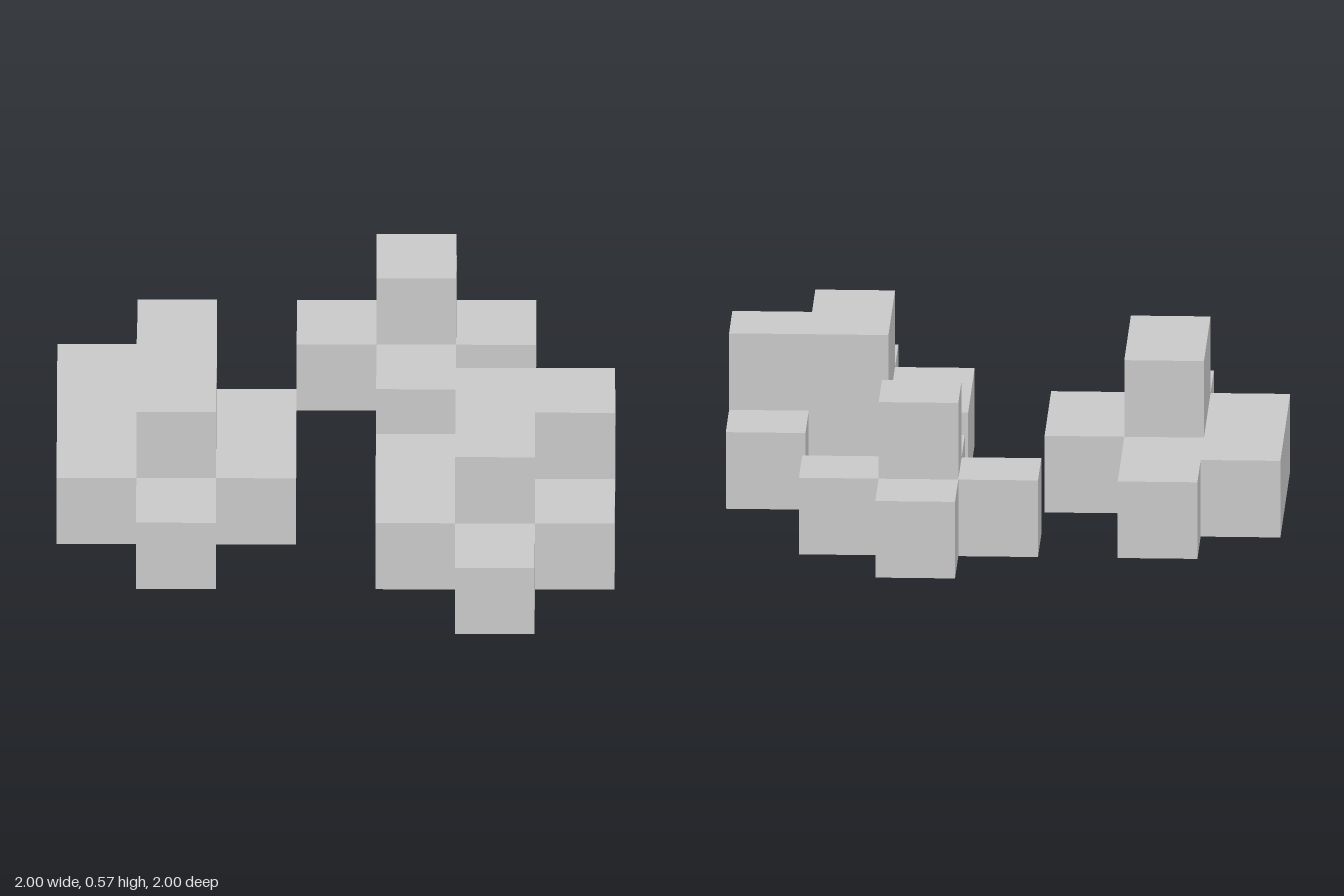
import * as THREE from 'three';
import { mergeGeometries } from 'three/addons/utils/BufferGeometryUtils.js';

const N = 7;          // grid cells per side
const U = 2 / N;      // edge of one cube

// Heights in cubes, one string per row from back (-z) to front (+z), columns from -x to +x
const PIECES = {
  longBlock: [
    '.......',
    '.1.....',
    '11.....',
    '121....',
    '121....',
    '.1.....',
    '.......',
  ],
  crossBlock: [
    '....1..',
    '...121.',
    '....1..',
    '.......',
    '.......',
    '.......',
    '.......',
  ],
  cornerBlock: [
    '.......',
    '.......',
    '.......',
    '......1',
    '....122',
    '....121',
    '.....1.',
  ],
};

const DIRECTIONS = [
  [1, 0, 0], [-1, 0, 0], [0, 1, 0], [0, -1, 0], [0, 0, 1], [0, 0, -1],
].map((d) => new THREE.Vector3(...d));
const FORWARD = new THREE.Vector3(0, 0, 1);

// One square face of a cube, looking along the given direction
function cubeFace(centre, dir) {
  const turn = new THREE.Quaternion().setFromUnitVectors(FORWARD, dir);
  const at = centre.clone().addScaledVector(dir, U / 2);
  return new THREE.PlaneGeometry(U, U).applyQuaternion(turn).translate(at.x, at.y, at.z);
}

// Joined cubes as one solid: only the exposed faces are kept
function blockGeometry(rows) {
  const height = (x, z) => Number(rows[z]?.[x]) || 0;
  const filled = (x, y, z) => y >= 0 && y < height(x, z);
  const faces = [];
  for (let z = 0; z < N; z++) {
    for (let x = 0; x < N; x++) {
      for (let y = 0; y < height(x, z); y++) {
        const centre = new THREE.Vector3((x + 0.5) * U - 1, (y + 0.5) * U, (z + 0.5) * U - 1);
        for (const d of DIRECTIONS) {
          if (!filled(x + d.x, y + d.y, z + d.z)) faces.push(cubeFace(centre, d));
        }
      }
    }
  }
  return mergeGeometries(faces);
}

export function createModel() {
  const model = new THREE.Group();
  model.name = 'puzzleBlocks';
  const grey = new THREE.MeshStandardMaterial({ color: 0xcccccc, flatShading: true });

  for (const [name, rows] of Object.entries(PIECES)) {
    const block = new THREE.Mesh(blockGeometry(rows), grey);
    block.name = name;
    model.add(block);
  }
  return model;
}
